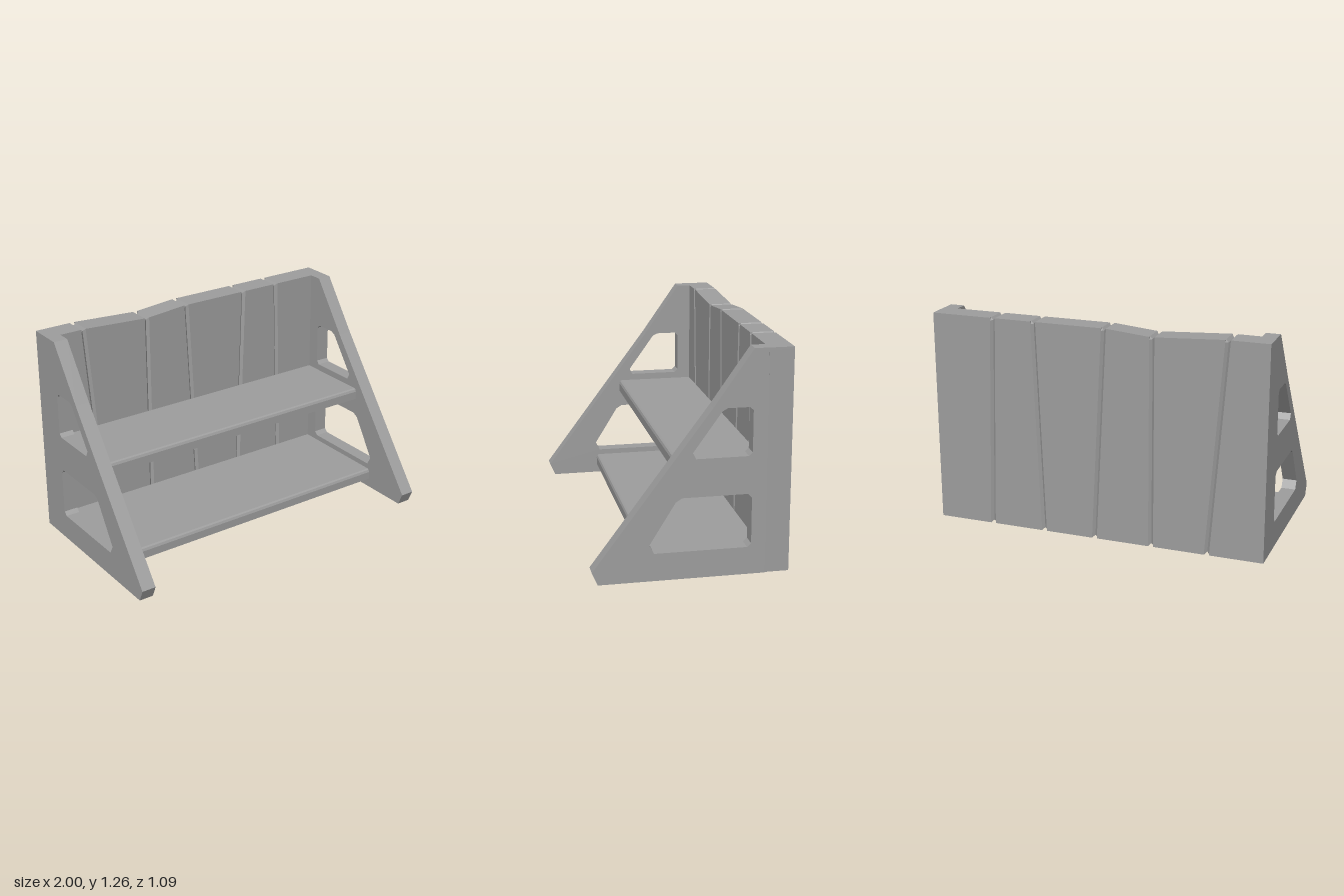
import * as THREE from 'three';

const material = new THREE.MeshStandardMaterial({ color: 0x9d9d9d, flatShading: true });
const BACK = -0.547, FRONT = -0.41, BEVEL = 0.015;

function addMesh(parent, name, geometry) {
  const mesh = new THREE.Mesh(geometry, material);
  mesh.name = name;
  parent.add(mesh);
  return mesh;
}

const toPoints = (zy) => zy.map(([z, y]) => new THREE.Vector2(-z, y));

// Extrudes a (z, y) profile along x from x0 to x1; holes wind against the outline
function extrudeAlongX(profile, x0, x1, holes = []) {
  const shape = new THREE.Shape(toPoints(profile));
  for (const hole of holes) shape.holes.push(new THREE.Path(toPoints(hole).reverse()));
  const geometry = new THREE.ExtrudeGeometry(shape, { depth: x1 - x0, bevelEnabled: false });
  return geometry.rotateY(Math.PI / 2).translate(x0, 0, 0);
}

// Tapered plank between two seams; edges along a seam are chamfered
function plankGeometry(left, right) {
  const cl = left.outer ? 0 : BEVEL, cr = right.outer ? 0 : BEVEL;
  const positions = [], index = [];
  const levels = [
    { end: 0, lift: 0, cap: true },
    { end: 0, lift: BEVEL, cap: false },
    { end: 1, lift: -BEVEL, cap: false },
    { end: 1, lift: 0, cap: true },
  ];
  for (const { end, lift, cap } of levels) {
    const corner = (seam, inset, z, onFace) => {
      const t = end + lift / seam.height;
      const x = THREE.MathUtils.lerp(seam.bottom, seam.top, t);
      positions.push(x + (cap || onFace ? inset : 0), t * seam.height, z);
    };
    corner(right, -cr, FRONT, true);
    corner(right, -cr, FRONT - BEVEL, false);
    corner(right, -cr, BACK + BEVEL, false);
    corner(right, -cr, BACK, true);
    corner(left, cl, BACK, true);
    corner(left, cl, BACK + BEVEL, false);
    corner(left, cl, FRONT - BEVEL, false);
    corner(left, cl, FRONT, true);
  }
  for (let l = 0; l < 3; l++) {
    for (let i = 0; i < 8; i++) {
      const a = l * 8 + i, b = l * 8 + (i + 1) % 8;
      index.push(a, b, b + 8, a, b + 8, a + 8);
    }
  }
  for (let i = 1; i < 7; i++) {
    index.push(0, i + 1, i, 24, 24 + i, 25 + i);
  }
  const geometry = new THREE.BufferGeometry();
  geometry.setAttribute('position', new THREE.Float32BufferAttribute(positions, 3));
  geometry.setIndex(index);
  const flat = geometry.toNonIndexed();
  flat.computeVertexNormals();
  return flat;
}

export function createModel() {
  const model = new THREE.Group();
  model.name = 'shelfUnit';

  // Back wall of uneven planks
  const seams = [
    { bottom: -1, top: -1, height: 1.263, outer: true },
    { bottom: -0.67, top: -0.766, height: 1.263 },
    { bottom: -0.337, top: -0.337, height: 1.24 },
    { bottom: 0.008, top: -0.056, height: 1.263 },
    { bottom: 0.324, top: 0.369, height: 1.263 },
    { bottom: 0.657, top: 0.618, height: 1.263 },
    { bottom: 0.994, top: 0.994, height: 1.263, outer: true },
  ];
  const backWall = new THREE.Group();
  backWall.name = 'backWall';
  model.add(backWall);
  for (let i = 0; i < seams.length - 1; i++) {
    addMesh(backWall, `backPlank${i + 1}`, plankGeometry(seams[i], seams[i + 1]));
  }

  // Sloped side panels with two cut-outs; the left one leans in slightly
  const outline = [
    [0.515, 0], [0.547, 0.073], [-0.11, 0.95], [-0.33, 1.263], [FRONT, 1.263], [FRONT, 0],
  ];
  const upperHole = [
    [-0.02, 0.675], [-0.002, 0.71], [-0.16, 0.93], [-0.19, 0.946],
    [-0.31, 0.946], [-0.33, 0.928], [-0.33, 0.695], [-0.31, 0.675],
  ];
  const lowerHole = [
    [0.208, 0.157], [0.234, 0.207], [0.09, 0.44], [0.055, 0.462],
    [-0.308, 0.462], [-0.33, 0.44], [-0.33, 0.178], [-0.308, 0.157],
  ];
  for (const [name, x0, x1, lean] of [['leftSide', 0.915, 1, -0.006], ['rightSide', -1, -0.915, 0]]) {
    const side = extrudeAlongX(outline, x0, x1, [upperHole, lowerHole]);
    addMesh(model, name, side.applyMatrix4(new THREE.Matrix4().makeShear(0, 0, lean, 0, 0, 0)));
  }

  // Shelves with a softened front edge
  const shelves = [['upperShelf', 0.565, 0.635, 0.069], ['lowerShelf', 0.056, 0.124, 0.229]];
  for (const [name, bottom, top, front] of shelves) {
    const profile = [
      [FRONT, bottom], [front, bottom], [front, top - 0.02],
      [front - 0.006, top - 0.006], [front - 0.016, top], [FRONT, top],
    ];
    addMesh(model, name, extrudeAlongX(profile, -0.918, 0.918));
  }

  return model;
}
